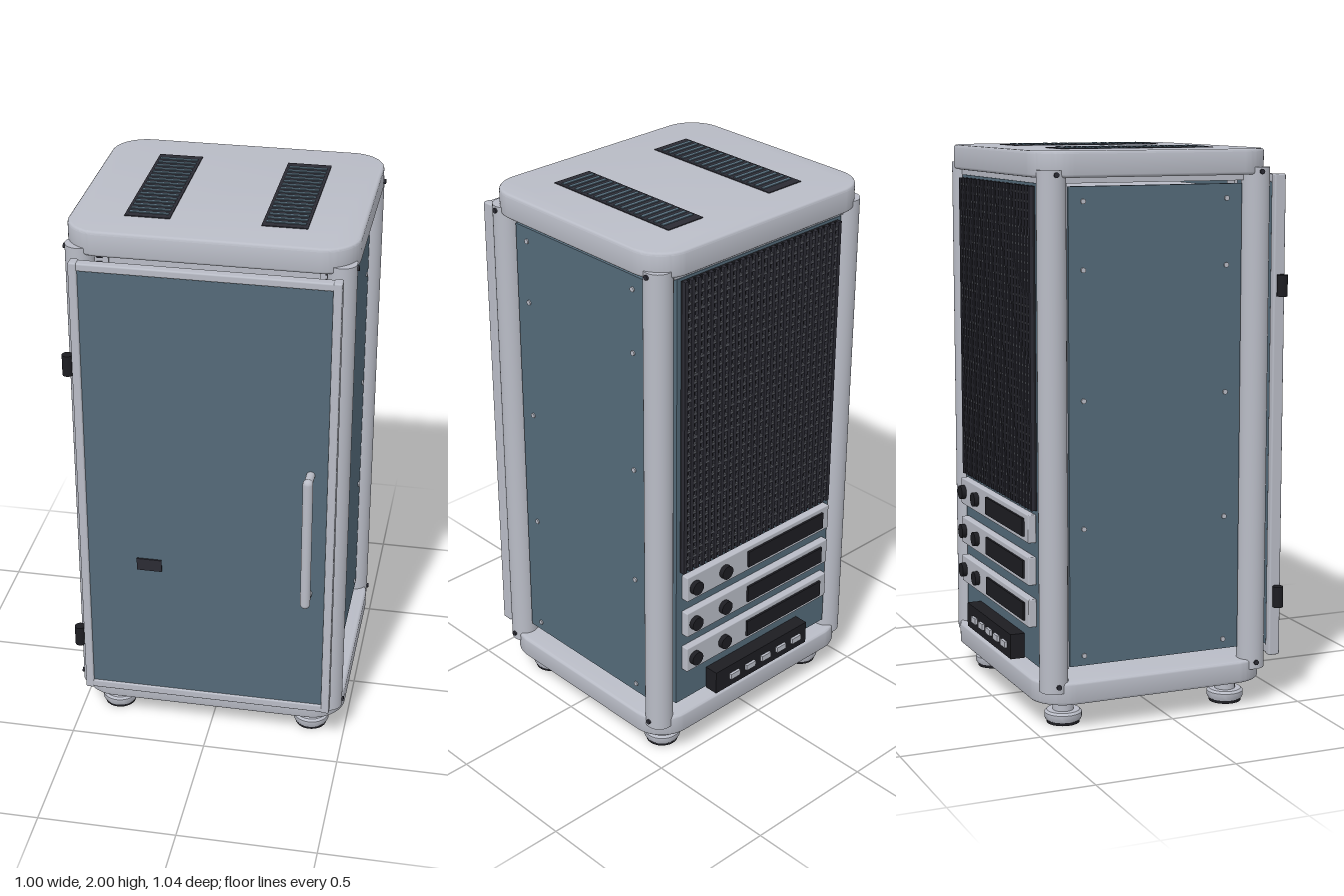
import * as THREE from 'three';
import { mergeGeometries, toCreasedNormals } from 'three/addons/utils/BufferGeometryUtils.js';
import { RoundedBoxGeometry } from 'three/addons/geometries/RoundedBoxGeometry.js';

const paint = (name, color) => {
  const m = new THREE.MeshStandardMaterial({ color });
  m.name = name;
  return m;
};

export function createModel() {
  const grey = paint('light grey metal', 0xb9bcc6);
  const blue = paint('slate blue panel', 0x546a79);
  const dark = paint('dark trim', 0x2b2b34);
  const black = paint('black rubber', 0x1d1d22);
  const wire = paint('mesh wire grey', 0x54565d);
  const purple = paint('purple cable', 0x6b3a9c);

  const model = new THREE.Group();
  model.name = 'serverCabinet';
  const midZ = -0.052;

  const add = (name, geo, mat, parent = model) => {
    const mesh = new THREE.Mesh(geo, mat);
    mesh.name = name;
    parent.add(mesh);
    return mesh;
  };
  const group = (name) => {
    const g = new THREE.Group();
    g.name = name;
    model.add(g);
    return g;
  };
  // box given by its limits on each axis
  const box = (x0, x1, y0, y1, z0, z1, r = 0) => {
    const s = [x1 - x0, y1 - y0, z1 - z0];
    const g = r ? new RoundedBoxGeometry(...s, 2, r) : new THREE.BoxGeometry(...s);
    return g.translate((x0 + x1) / 2, (y0 + y1) / 2, (z0 + z1) / 2);
  };
  // cylinder along y, x or z, placed by its centre
  const rod = (r, len, axis, x, y, z, sides = 24) => {
    const g = new THREE.CylinderGeometry(r, r, len, sides);
    if (axis === 'x') g.rotateZ(Math.PI / 2);
    if (axis === 'z') g.rotateX(Math.PI / 2);
    return g.translate(x, y, z);
  };

  // rounded top and bottom slabs
  const slab = (y0, y1) => {
    const b = 0.01, w = 0.495 - b, d = 0.437 - b, r = 0.115;
    const s = new THREE.Shape();
    s.moveTo(-w + r, -d);
    s.lineTo(w - r, -d);
    s.absarc(w - r, -d + r, r, -Math.PI / 2, 0);
    s.lineTo(w, d - r);
    s.absarc(w - r, d - r, r, 0, Math.PI / 2);
    s.lineTo(-w + r, d);
    s.absarc(-w + r, d - r, r, Math.PI / 2, Math.PI);
    s.lineTo(-w, -d + r);
    s.absarc(-w + r, -d + r, r, Math.PI, Math.PI * 1.5);
    const g = new THREE.ExtrudeGeometry(s, {
      depth: y1 - y0 - 2 * b, bevelThickness: b, bevelSize: b, bevelSegments: 3, curveSegments: 14,
    });
    g.rotateX(-Math.PI / 2).translate(0, y0 + b, midZ);
    return toCreasedNormals(g, 0.7);
  };
  add('topCap', slab(1.905, 1.994), grey);
  add('base', slab(0.095, 0.175), grey);

  // corner posts, their screws, and the levelling feet
  for (const x of [-1, 1]) {
    for (const z of [0.332, -0.427]) {
      add('cornerPost', rod(0.05, 1.79, 'y', x * 0.442, 1.035, z, 32), grey);
      for (const y of [0.165, 1.915])
        add('postScrew', rod(0.009, 0.008, 'x', x * 0.494, y, z, 12), dark);
    }
    for (const z of [0.268, -0.365]) {
      const foot = group('foot');
      foot.position.set(x * 0.37, 0, z);
      add('footStem', rod(0.037, 0.06, 'y', 0, 0.07, 0), grey, foot);
      const profile = [[0, 0.012], [0.062, 0.012], [0.066, 0.02], [0.066, 0.038], [0.058, 0.046], [0, 0.046]];
      const pad = new THREE.LatheGeometry(profile.map((p) => new THREE.Vector2(...p)), 32);
      add('footPad', toCreasedNormals(pad, 0.6), grey, foot);
      add('footSole', rod(0.058, 0.014, 'y', 0, 0.007, 0, 32), black, foot);
    }
  }

  // side panels with screws and edge frames
  for (const x of [-1, 1]) {
    const side = group(x > 0 ? 'leftSide' : 'rightSide');
    const plate = (a, b, ...rest) => box(Math.min(x * a, x * b), Math.max(x * a, x * b), ...rest);
    add('sidePanel', plate(0.432, 0.452, 0.22, 1.875, -0.37, 0.275), blue, side);
    add('sideTopRail', plate(0.42, 0.448, 1.885, 1.91, -0.4, 0.31), grey, side);
    add('sideRearStrip', plate(0.425, 0.44, 0.21, 1.89, -0.39, -0.37), grey, side);
    for (const z of [0.217, -0.317])
      for (const y of [0.255, 0.705, 1.15, 1.595, 1.825])
        add('sideScrew', rod(0.009, 0.008, 'x', x * 0.453, y, z, 12), grey, side);
    // perforated mounting rail
    add('rackRail', plate(0.36, 0.42, 0.21, 1.89, 0.262, 0.274), grey, side);
    const slots = [];
    for (let y = 0.235; y < 1.88; y += 0.03) slots.push(plate(0.38, 0.4, y, y + 0.016, 0.274, 0.28));
    add('railSlots', mergeGeometries(slots), dark, side);
  }

  // equipment behind the door
  const rack = group('rackEquipment');
  for (let i = 0; i < 11; i++) {
    const y = 0.22 + i * 0.15;
    add('rackUnit', box(-0.36, 0.36, y, y + 0.14, -0.35, 0.265), i % 2 ? dark : grey, rack);
  }
  for (let i = 0; i < 9; i++) {
    const x = -0.19 + i * 0.03;
    const path = new THREE.CatmullRomCurve3([
      [x, 0.9, 0.26], [x + 0.005, 0.9, 0.36], [x + 0.02, 0.84, 0.398],
      [x + 0.035, 0.76, 0.395], [x + 0.045, 0.73, 0.35], [x + 0.05, 0.74, 0.26],
    ].map((p) => new THREE.Vector3(...p)));
    add('cable', new THREE.TubeGeometry(path, 24, 0.008, 8), purple, rack);
  }

  // front door: frame, panel, label, handle and hinges
  const door = group('frontDoor');
  for (const x of [-1, 1])
    add('doorStile', box(x * 0.442 - 0.015, x * 0.442 + 0.015, 0.172, 1.905, 0.402, 0.445, 0.006), grey, door);
  add('doorTopRail', box(-0.44, 0.44, 1.875, 1.903, 0.406, 0.443, 0.006), grey, door);
  add('doorBottomRail', box(-0.44, 0.44, 0.174, 0.205, 0.406, 0.443, 0.006), grey, door);
  add('doorPanel', box(-0.43, 0.43, 0.2, 1.88, 0.41, 0.436), blue, door);
  add('doorPlate', box(-0.25, -0.16, 0.72, 0.767, 0.436, 0.442), dark, door);
  const grip = new THREE.CapsuleGeometry(0.018, 0.49, 6, 20);
  add('handleGrip', grip.translate(0.368, 0.934, 0.5), grey, door);
  for (const y of [0.692, 1.176])
    add('handleStandoff', rod(0.015, 0.07, 'z', 0.368, y, 0.467), grey, door);
  for (const y of [0.395, 1.517])
    add('hinge', rod(0.019, 0.076, 'y', -0.476, y, 0.425), black, door);

  // rear panel with ventilation mesh
  const rear = group('rearPanel');
  add('rearPlate', box(-0.388, 0.388, 0.21, 1.885, -0.458, -0.44), blue, rear);
  add('rearTopRail', box(-0.4, 0.4, 1.885, 1.91, -0.455, -0.43), grey, rear);
  add('meshBacking', box(-0.37, 0.37, 0.765, 1.875, -0.466, -0.458), black, rear);
  const rows = [], columns = [];
  for (let i = 0; i < 37; i++) {
    const y = 0.785 + i * 0.0295;
    rows.push(box(-0.362, 0.362, y, y + 0.01, -0.476, -0.466));
  }
  for (let i = 0; i < 26; i++) {
    const x = -0.37 + i * 0.029;
    columns.push(box(x, x + 0.015, 0.765, 1.875, -0.478, -0.466));
  }
  add('meshRows', mergeGeometries(rows), wire, rear);
  add('meshColumns', mergeGeometries(columns), dark, rear);

  // three rear modules, each with two knobs and a display
  for (const y of [0.4, 0.55, 0.7]) {
    add('rearModule', box(-0.362, 0.362, y - 0.05, y + 0.05, -0.488, -0.458, 0.004), grey, rear);
    add('moduleDisplay', box(-0.325, 0.065, y - 0.032, y + 0.032, -0.496, -0.487), black, rear);
    for (const x of [0.18, 0.325])
      add('moduleKnob', rod(0.026, 0.02, 'z', x, y, -0.496), black, rear);
  }

  // socket strip
  add('socketStrip', box(-0.237, 0.237, 0.205, 0.295, -0.511, -0.458), black, rear);
  for (let i = 0; i < 5; i++) {
    const x = -0.178 + i * 0.081;
    add('socket', box(x - 0.023, x + 0.023, 0.238, 0.26, -0.521, -0.511), grey, rear);
  }

  // slatted vents on the top and grilles underneath
  for (const x of [-0.233, 0.233]) {
    add('topVent', box(x - 0.078, x + 0.078, 1.988, 1.997, -0.336, 0.231), dark);
    const slats = [], bars = [];
    for (let i = 0; i < 16; i++) {
      const z = -0.295 + i * 0.0328;
      slats.push(box(x - 0.068, x + 0.068, 1.995, 2, z - 0.007, z + 0.007));
      bars.push(box(x - 0.07, x + 0.07, 0.09, 0.093, z - 0.004, z + 0.004));
    }
    for (let i = 0; i < 6; i++) {
      const bx = x - 0.062 + i * 0.025;
      bars.push(box(bx - 0.003, bx + 0.003, 0.09, 0.093, -0.325, 0.22));
    }
    add('topVentSlats', mergeGeometries(slats), blue);
    add('bottomVent', box(x - 0.078, x + 0.078, 0.092, 0.1, -0.336, 0.231), black);
    add('bottomVentBars', mergeGeometries(bars), wire);
  }

  return model;
}
